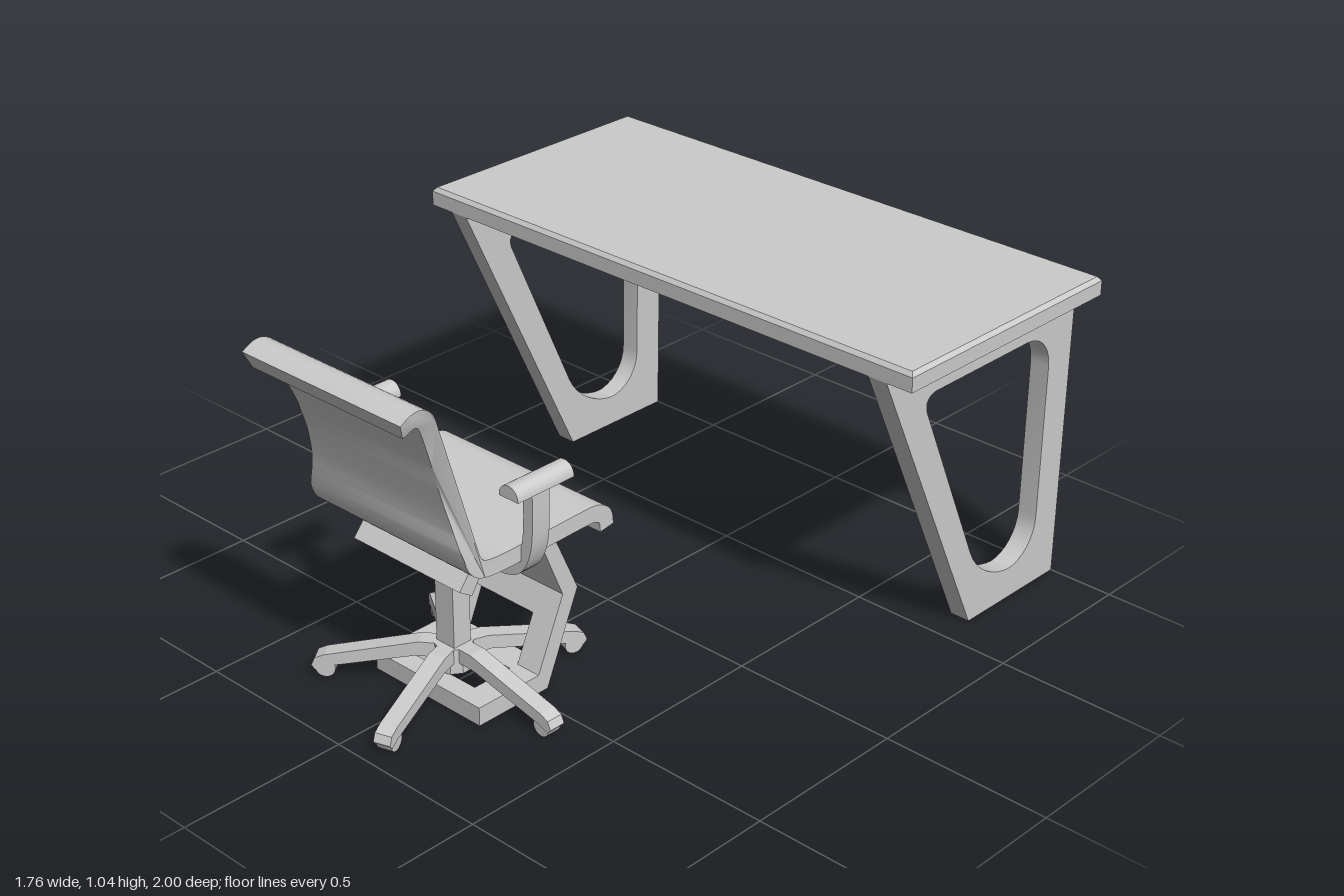
import * as THREE from 'three';
import { toCreasedNormals } from 'three/addons/utils/BufferGeometryUtils.js';

const material = new THREE.MeshStandardMaterial({ color: 0xcccccc });
const v2 = (p) => new THREE.Vector2(p[0], p[1]);

function addMesh(parent, name, geometry) {
  const mesh = new THREE.Mesh(geometry, material);
  mesh.name = name;
  parent.add(mesh);
  return mesh;
}

function extrude(shape, depth) {
  return new THREE.ExtrudeGeometry(shape, { depth, bevelEnabled: false, curveSegments: 8 });
}

// Side profile given as (z, y), extruded from x0 to x1
function extrudeX(shape, x0, x1) {
  return extrude(shape, x1 - x0).rotateY(-Math.PI / 2).translate(x1, 0, 0);
}

const polygon = (points) => new THREE.Shape(points.map(v2));

// Closed path whose corners [x, y, radius] are rounded
function roundedPath(corners) {
  const path = new THREE.Path();
  const n = corners.length;
  corners.forEach((c, i) => {
    const p = v2(c);
    const toward = (q) => v2(q).sub(p).setLength(c[2]).add(p);
    const a = toward(corners[(i + n - 1) % n]);
    const b = toward(corners[(i + 1) % n]);
    if (i === 0) path.moveTo(a.x, a.y);
    else path.lineTo(a.x, a.y);
    path.bezierCurveTo(
      a.x + (p.x - a.x) * 0.56, a.y + (p.y - a.y) * 0.56,
      b.x + (p.x - b.x) * 0.56, b.y + (p.y - b.y) * 0.56, b.x, b.y);
  });
  path.closePath();
  return path;
}

// Band of even thickness that follows a smooth centre line
function ribbon(points, thickness, steps) {
  const curve = new THREE.SplineCurve(points.map(v2));
  const left = [], right = [];
  for (let i = 0; i <= steps; i++) {
    const p = curve.getPoint(i / steps);
    const t = curve.getTangent(i / steps).multiplyScalar(thickness / 2);
    left.push(new THREE.Vector2(p.x - t.y, p.y + t.x));
    right.push(new THREE.Vector2(p.x + t.y, p.y - t.x));
  }
  return new THREE.Shape(left.concat(right.reverse()));
}

function createDesk() {
  const desk = new THREE.Group();
  desk.name = 'desk';

  // Top slab with a narrow chamfer around its upper edge
  const top = new THREE.BoxGeometry(1.76, 0.055, 0.82, 1, 2, 1).toNonIndexed();
  const pos = top.attributes.position;
  for (let i = 0; i < pos.count; i++) {
    const y = pos.getY(i);
    if (Math.abs(y) < 0.001) pos.setY(i, 0.0155);
    if (y > 0.02) {
      pos.setX(i, pos.getX(i) - Math.sign(pos.getX(i)) * 0.01);
      pos.setZ(i, pos.getZ(i) - Math.sign(pos.getZ(i)) * 0.01);
    }
  }
  top.computeVertexNormals();
  addMesh(desk, 'deskTop', top.translate(0, 0.9175, -0.59));

  // Slanted panel legs with a rounded opening
  const panel = polygon([[-0.18, 0.89], [-1, 0.89], [-1, 0], [-0.61, 0]]);
  panel.holes.push(roundedPath([
    [-0.335, 0.793, 0.06], [-0.9, 0.793, 0.11], [-0.9, 0.095, 0.12], [-0.655, 0.095, 0.14]]));
  for (const [name, x] of [['leftDeskLeg', 0.74], ['rightDeskLeg', -0.8]]) {
    addMesh(desk, name, toCreasedNormals(extrudeX(panel, x, x + 0.06), 0.5));
  }
  return desk;
}

function createSeat() {
  // One continuous shell: rolled head edge, back, seat and front lip
  const shell = ribbon([
    [0.99, 1.002], [0.945, 1.021], [0.905, 0.99], [0.845, 0.86], [0.803, 0.7], [0.788, 0.6],
    [0.77, 0.55], [0.725, 0.529], [0.6, 0.529], [0.4, 0.537], [0.35, 0.534], [0.322, 0.515],
    [0.316, 0.48]], 0.048, 72);
  const geometry = extrudeX(shell, -1, 1);
  const pos = geometry.attributes.position;
  // The back is waisted, the seat widens slightly to the front
  for (let i = 0; i < pos.count; i++) {
    const y = pos.getY(i), z = pos.getZ(i);
    const back = 0.245 + 0.045 * Math.min(1, ((y - 0.8) / 0.22) ** 2);
    const seat = 0.29 + 0.01 * (0.8 - z) / 0.5;
    pos.setX(i, pos.getX(i) * (y < 0.58 ? seat : back));
  }
  geometry.computeVertexNormals();
  return toCreasedNormals(geometry, 0.6);
}

function createArmrest(side) {
  const arm = new THREE.Group();
  arm.name = side > 0 ? 'leftArmrest' : 'rightArmrest';
  const path = [[0.32, 0.73], [0.32, 0.62], [0.31, 0.54], [0.28, 0.482], [0.23, 0.46], [0.15, 0.455]];
  const support = ribbon(path.map(([x, y]) => [x * side, y]), 0.033, 24);
  addMesh(arm, 'armSupport', toCreasedNormals(extrude(support, 0.06).translate(0, 0, 0.56), 0.6));

  // Domed pad
  const dome = new THREE.Shape();
  dome.moveTo(-0.034, 0.718);
  dome.lineTo(0.034, 0.718);
  dome.bezierCurveTo(0.034, 0.74, 0.02, 0.755, 0, 0.755);
  dome.bezierCurveTo(-0.02, 0.755, -0.034, 0.74, -0.034, 0.718);
  addMesh(arm, 'armPad', toCreasedNormals(extrude(dome, 0.195).translate(0.32 * side, 0, 0.49), 0.7));
  return arm;
}

function createSupport() {
  const frame = new THREE.Group();
  frame.name = 'foldedFrame';
  // Seat tray bent down at the rear and into the upper leg
  addMesh(frame, 'seatTray', extrudeX(polygon([
    [0.747, 0.428], [0.685, 0.505], [0.435, 0.505], [0.325, 0.265],
    [0.38, 0.265], [0.463, 0.46], [0.667, 0.46], [0.704, 0.4]]), -0.2, 0.2));
  // Lower leg and floor rails on both sides
  const rail = polygon([[0.325, 0.265], [0.44, 0], [0.69, 0], [0.69, 0.055], [0.473, 0.055], [0.38, 0.265]]);
  addMesh(frame, 'leftRail', extrudeX(rail, 0.12, 0.2));
  addMesh(frame, 'rightRail', extrudeX(rail, -0.2, -0.12));
  // Cross pieces closing the openings between the rails
  const crossPieces = {
    upperCrossPiece: [[0.325, 0.265], [0.358, 0.19], [0.413, 0.19], [0.38, 0.265]],
    cornerCrossPiece: [[0.416, 0.055], [0.44, 0], [0.5, 0], [0.5, 0.055]],
    floorCrossPiece: [[0.63, 0], [0.69, 0], [0.69, 0.055], [0.63, 0.055]],
  };
  for (const [name, points] of Object.entries(crossPieces)) {
    addMesh(frame, name, extrudeX(polygon(points), -0.12, 0.12));
  }
  return frame;
}

function createStarBase() {
  const base = new THREE.Group();
  base.name = 'starBase';
  base.position.z = 0.59;
  addMesh(base, 'hub', toCreasedNormals(
    new THREE.CylinderGeometry(0.055, 0.055, 0.075, 10).translate(0, 0.0955, 0), 0.5));
  addMesh(base, 'column', new THREE.BoxGeometry(0.068, 0.35, 0.06).translate(0, 0.305, 0));

  // Five sloping spokes, each ending in a caster
  const spoke = polygon([
    [0, 0.133], [0.09, 0.133], [0.35, 0.07], [0.376, 0.058], [0.386, 0.035],
    [0.375, 0.022], [0.345, 0.035], [0.1, 0.09], [0, 0.09]]);
  for (let i = 0; i < 5; i++) {
    const leg = new THREE.Group();
    leg.name = 'spoke' + (i + 1);
    leg.rotation.y = i * Math.PI * 2 / 5;
    addMesh(leg, 'spokeArm', extrude(spoke, 0.05).translate(0, 0, -0.025));
    const caster = new THREE.CylinderGeometry(0.028, 0.028, 0.044, 16);
    addMesh(leg, 'caster', toCreasedNormals(caster.rotateX(Math.PI / 2).translate(0.348, 0.028, 0), 0.6));
    base.add(leg);
  }
  return base;
}

export function createModel() {
  const model = new THREE.Group();
  model.name = 'deskAndChair';
  const chair = new THREE.Group();
  chair.name = 'chair';
  addMesh(chair, 'seatShell', createSeat());
  chair.add(createArmrest(1), createArmrest(-1), createSupport(), createStarBase());
  model.add(createDesk(), chair);
  return model;
}
